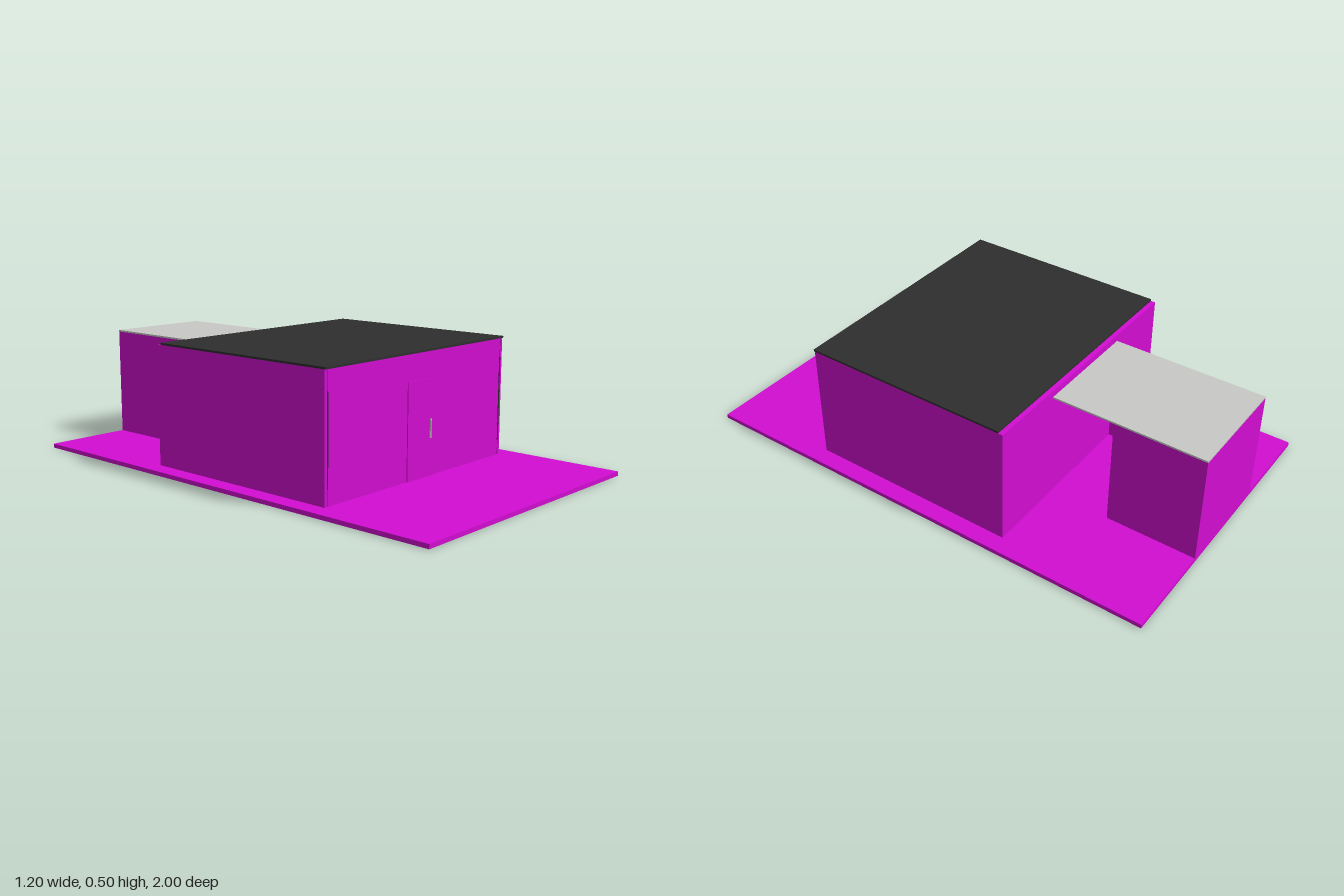
import * as THREE from 'three';

const material = (name, color) => {
  const m = new THREE.MeshStandardMaterial({ color });
  m.name = name;
  return m;
};

export function createModel() {
  const magenta = material('magenta', 0xd20dd2);
  const charcoal = material('charcoal', 0x2e2e2e);
  const grey = material('light grey', 0xc8c8c6);
  const model = new THREE.Group();
  model.name = 'house';

  // Box given by its lower and upper bounds on each axis
  const block = (name, mat, [x0, x1], [y0, y1], [z0, z1]) => {
    const mesh = new THREE.Mesh(new THREE.BoxGeometry(x1 - x0, y1 - y0, z1 - z0), mat);
    mesh.name = name;
    mesh.position.set((x0 + x1) / 2, (y0 + y1) / 2, (z0 + z1) / 2);
    model.add(mesh);
  };

  const floor = 0.017;
  block('basePlate', magenta, [-0.6, 0.6], [0, floor], [-1, 1]);

  // Main house with its flat roof
  block('mainHouse', magenta, [-0.53, 0.53], [floor, 0.497], [-0.375, 0.49]);
  block('frontWall', magenta, [-0.515, 0.515], [floor, 0.497], [0.49, 0.499]);
  block('mainRoof', charcoal, [-0.53, 0.53], [0.497, 0.505], [-0.356, 0.504]);

  // Corner posts and dark trim at both ends of the front wall
  for (const s of [-1, 1]) {
    const span = (a, b) => [Math.min(s * a, s * b), Math.max(s * a, s * b)];
    block('cornerPost', magenta, span(0.518, 0.53), [floor, 0.497], [0.49, 0.499]);
    block('cornerTrim', charcoal, span(0.513, 0.518), [0.08, 0.42], [0.491, 0.501]);
  }

  // Front door: thin leaf, fine frame line and handle
  block('door', magenta, [-0.079, 0.081], [floor, 0.393], [0.499, 0.503]);
  block('doorHandle', grey, [0.053, 0.058], [0.165, 0.24], [0.503, 0.508]);

  // Rear annex: closed room, side wall and roof over an open passage
  block('annexRoom', magenta, [-0.235, 0.215], [floor, 0.463], [-1, -0.63]);
  block('passageWall', magenta, [-0.235, -0.22], [floor, 0.463], [-0.63, -0.375]);
  block('annexRoof', grey, [-0.235, 0.215], [0.463, 0.47], [-1, -0.375]);

  return model;
}
